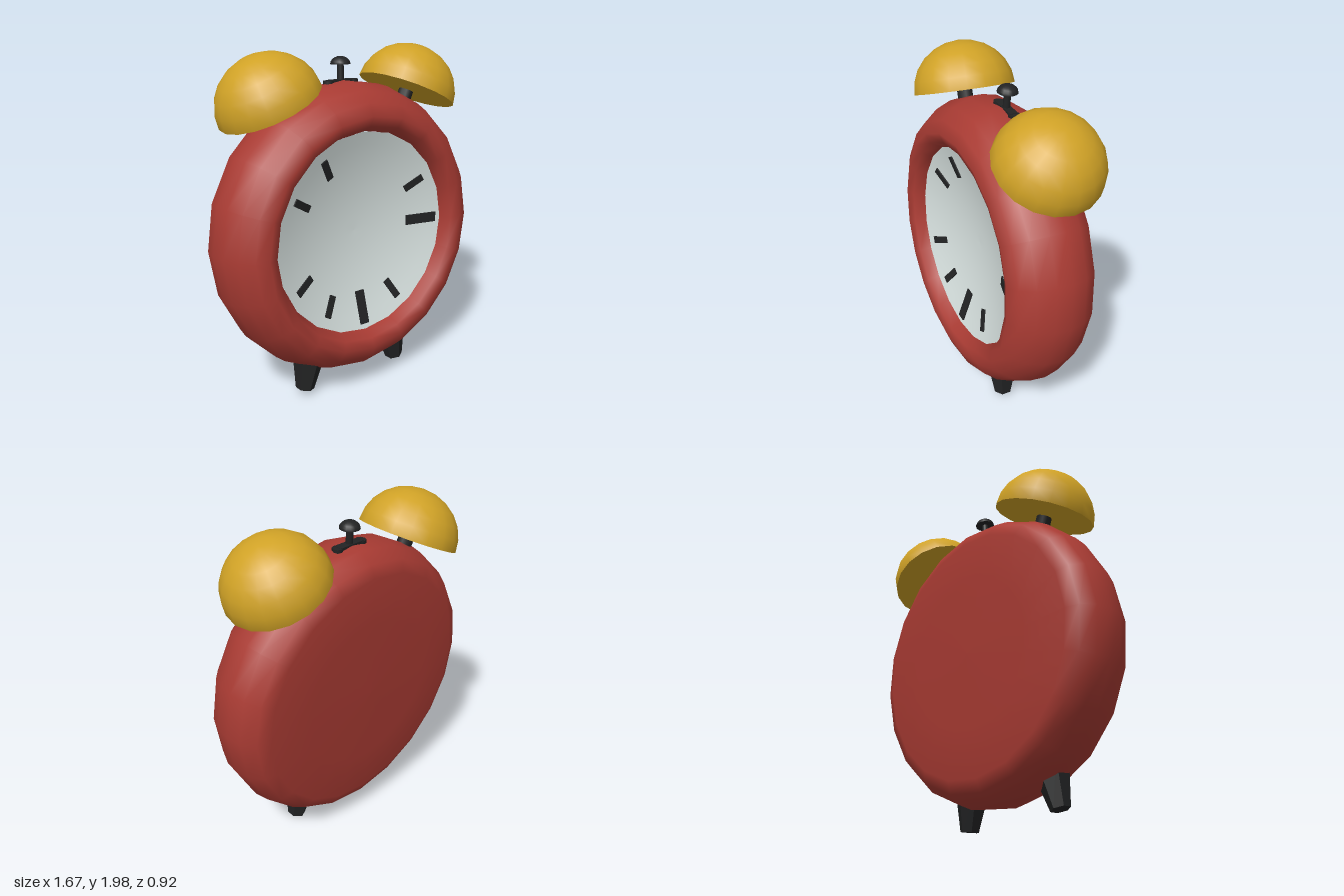
import * as THREE from 'three';

const mat = (name, color, extra = {}) => Object.assign(new THREE.MeshStandardMaterial({ color, ...extra }), { name });

export function createModel() {
  const red = mat('red', 0xa93b33);
  const gold = mat('gold', 0xd0a226);
  const white = mat('white', 0xd8e2e0, { side: THREE.DoubleSide });
  const black = mat('black', 0x222324);

  const model = new THREE.Group();
  const clock = new THREE.Group();
  clock.name = 'alarmClock';
  clock.position.set(0, 0.945, 0.035);
  clock.rotation.set(-0.06, 0.27, -0.026, 'YXZ'); // turned, leaning back a little
  model.add(clock);

  const add = (parent, name, geometry, material, x = 0, y = 0, z = 0) => {
    const mesh = new THREE.Mesh(geometry, material);
    mesh.name = name;
    mesh.position.set(x, y, z);
    parent.add(mesh);
    return mesh;
  };
  // Turned profile of [radius, depth] pairs, axis along z
  const turned = (pairs) => new THREE.LatheGeometry(
    pairs.map(([r, d]) => new THREE.Vector2(r, d)), 20).rotateX(Math.PI / 2);

  // Case: domed back, round side and a thick rolled front rim
  add(clock, 'case', turned([
    [0, -0.25], [0.45, -0.245], [0.72, -0.232], [0.79, -0.2], [0.84, -0.12],
    [0.857, -0.03], [0.848, 0.06], [0.81, 0.155], [0.75, 0.225], [0.68, 0.255],
    [0.625, 0.235], [0.592, 0.175], [0.585, 0.08],
  ]), red);

  // Dial: shallow dish
  const dish = (r) => 0.07 + 0.1 * (r / 0.59) ** 2;
  const dialProfile = [];
  for (let i = 0; i <= 8; i++) dialProfile.push([i * 0.59 / 8, dish(i * 0.59 / 8)]);
  add(clock, 'dial', turned(dialProfile), white);

  // Hour marks, following the slope of the dish
  for (const hour of [2, 3, 5, 6, 7, 8, 10, 11]) {
    const long = hour % 3 === 0;
    const pivot = new THREE.Group();
    pivot.name = 'hourMark' + hour;
    pivot.rotation.z = -hour * Math.PI / 6;
    const mark = add(pivot, 'mark',
      new THREE.BoxGeometry(long ? 0.06 : 0.042, long ? 0.2 : 0.132, 0.008), black,
      0, 0.46, dish(0.46) + 0.01);
    mark.rotation.x = Math.atan(0.2 * 0.46 / 0.59 ** 2);
    clock.add(pivot);
  }

  // Bells and feet, mirrored
  for (const [side, s] of [['left', 1], ['right', -1]]) {
    const bell = new THREE.Group();
    bell.name = side + 'Bell';
    bell.position.set(s * 0.477, 0.76, -0.02);
    bell.rotation.z = -s * 0.43;
    const dome = new THREE.SphereGeometry(0.295, 18, 6, 0, Math.PI * 2, 0, Math.PI / 2).scale(1, 0.93, 1);
    add(bell, 'dome', dome, gold);
    add(bell, 'underside', new THREE.CircleGeometry(0.295, 18).rotateX(Math.PI / 2), gold);
    add(bell, 'post', new THREE.CylinderGeometry(0.045, 0.045, 0.22, 10), black, 0, -0.1, 0);
    clock.add(bell);

    const footShape = new THREE.CylinderGeometry(0.105, 0.055, 0.25, 6).toNonIndexed();
    footShape.computeVertexNormals();
    const foot = add(clock, side + 'Foot', footShape, black, s * 0.325, -0.8, 0.025);
    foot.rotation.z = s * 0.17;
  }

  // Top button with its slot
  add(clock, 'buttonStem', new THREE.CylinderGeometry(0.02, 0.02, 0.14, 10), black, 0, 0.88, -0.035);
  const cap = new THREE.SphereGeometry(0.058, 14, 5, 0, Math.PI * 2, 0, Math.PI / 2).scale(1, 0.75, 1);
  add(clock, 'buttonCap', cap, black, 0, 0.942, -0.035);
  add(clock, 'buttonUnderside', new THREE.CircleGeometry(0.058, 14).rotateX(Math.PI / 2), black, 0, 0.942, -0.035);
  add(clock, 'slot', new THREE.BoxGeometry(0.17, 0.03, 0.05), black, 0, 0.843, -0.035);
  for (const s of [1, -1]) {
    add(clock, 'slotEnd', new THREE.CylinderGeometry(0.032, 0.032, 0.03, 8), black, s * 0.083, 0.84, -0.035);
  }
  return model;
}
